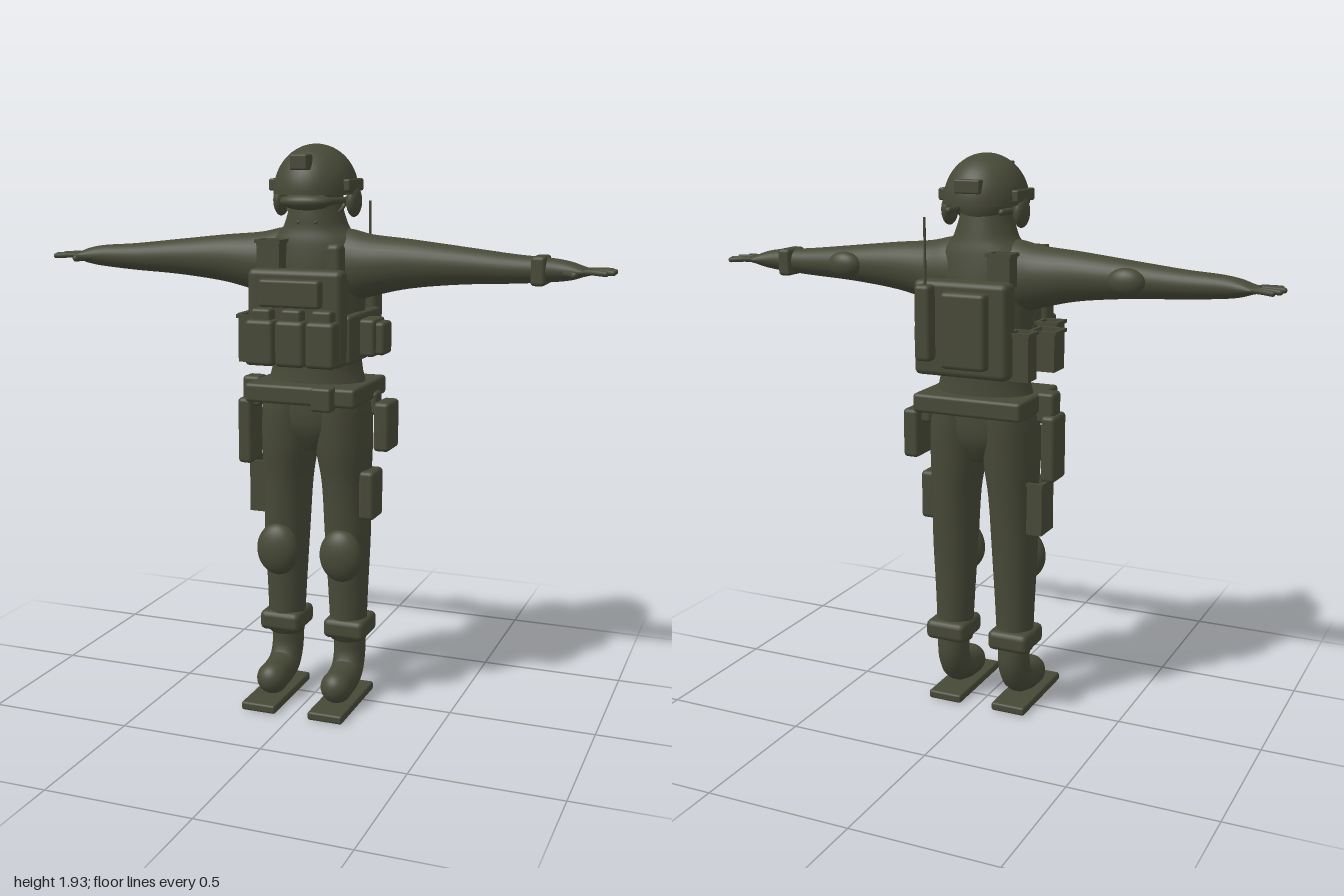
import * as THREE from 'three';
import { RoundedBoxGeometry } from 'three/addons/geometries/RoundedBoxGeometry.js';

const olive = new THREE.MeshStandardMaterial({ color: 0x474937 });
olive.name = 'olive drab';

// Closed smooth skin through elliptical sections [t, uCentre, vCentre, uRadius, vRadius]
function loft(sections, place, steps = 5, sides = 32) {
  const pick = (i) => sections[Math.min(sections.length - 1, Math.max(0, i))];
  const rings = [];
  for (let i = 0; i < sections.length - 1; i++) {
    for (let k = 0; k < steps; k++) {
      const f = k / steps;
      rings.push(pick(i).map((b, j) => {
        const a = pick(i - 1)[j], c = pick(i + 1)[j], d = pick(i + 2)[j];
        const m = (c - a) / 2, n = (d - b) / 2;
        return b + m * f + (3 * (c - b) - 2 * m - n) * f * f + (2 * (b - c) + m + n) * f ** 3;
      }));
    }
  }
  rings.push(pick(sections.length));
  const pos = [], index = [];
  for (const [t, cu, cv, ru, rv] of rings) {
    for (let s = 0; s < sides; s++) {
      const a = (s / sides) * Math.PI * 2;
      pos.push(...place(t, cu + ru * Math.cos(a), cv + rv * Math.sin(a)));
    }
  }
  const last = rings.length - 1;
  for (let i = 0; i < last; i++) {
    for (let s = 0; s < sides; s++) {
      const a = i * sides + s, b = i * sides + (s + 1) % sides;
      index.push(a, a + sides, b, b, a + sides, b + sides);
    }
  }
  const centre = pos.length / 3;
  for (const i of [0, last]) pos.push(...place(rings[i][0], rings[i][1], rings[i][2]));
  for (let s = 0; s < sides; s++) {
    const n = (s + 1) % sides;
    index.push(centre, s, n, centre + 1, last * sides + n, last * sides + s);
  }
  const g = new THREE.BufferGeometry();
  g.setAttribute('position', new THREE.Float32BufferAttribute(pos, 3));
  g.setIndex(index);
  g.computeVertexNormals();
  return g;
}
const alongY = (t, u, v) => [u, t, v];
const alongX = (t, u, v) => [t, v, u];

function add(parent, name, geometry, x = 0, y = 0, z = 0) {
  const m = new THREE.Mesh(geometry, olive);
  m.name = name;
  m.position.set(x, y, z);
  parent.add(m);
  return m;
}
// Rounded box from its limits
function box(parent, name, x0, x1, y0, y1, z0, z1, r = 0.012) {
  const w = x1 - x0, h = y1 - y0, d = z1 - z0;
  const g = new RoundedBoxGeometry(w, h, d, 2, Math.min(r, w / 2.1, h / 2.1, d / 2.1));
  return add(parent, name, g, (x0 + x1) / 2, (y0 + y1) / 2, (z0 + z1) / 2);
}
function ball(parent, name, x, y, z, rx, ry, rz) {
  const m = add(parent, name, new THREE.SphereGeometry(1, 32, 20), x, y, z);
  m.scale.set(rx, ry, rz);
  return m;
}
function rod(parent, name, points, r) {
  const pts = points.map((p) => new THREE.Vector3(...p));
  add(parent, name, new THREE.TubeGeometry(new THREE.CatmullRomCurve3(pts), 16, r, 14), 0, 0, 0);
  const end = pts[pts.length - 1];
  ball(parent, name + 'Tip', end.x, end.y, end.z, r, r, r);
}
// Open-topped holder with a flared lip
function holder(parent, name, x0, x1, y0, y1, z0, z1) {
  const g = new THREE.Group();
  g.name = name;
  const ring = (grow, h, y) => {
    const w = (x1 - x0) / 2 + grow, d = (z1 - z0) / 2 + grow, t = 0.007 + grow;
    const rect = (C, a, b) => new C([[-a, -b], [a, -b], [a, b], [-a, b]].map((p) => new THREE.Vector2(...p)));
    const s = rect(THREE.Shape, w, d);
    s.holes.push(rect(THREE.Path, w - t, d - t));
    const e = new THREE.ExtrudeGeometry(s, { depth: h, bevelEnabled: false }).rotateX(-Math.PI / 2);
    add(g, name + 'Wall', e, (x0 + x1) / 2, y, (z0 + z1) / 2);
  };
  ring(0, y1 - y0, y0);
  ring(0.006, 0.012, y1 - 0.012);
  box(g, name + 'Insert', x0 + 0.006, x1 - 0.006, y0, y1 - 0.03, z0 + 0.006, z1 - 0.006, 0.004);
  parent.add(g);
}

// Arm, leg and ear parts of one side (+x)
function createSide() {
  const s = new THREE.Group();
  add(s, 'sleeve', loft([
    [0.04, -0.015, 1.535, 0.09, 0.12], [0.12, -0.015, 1.53, 0.09, 0.122], [0.2, -0.012, 1.533, 0.085, 0.102],
    [0.33, -0.012, 1.542, 0.072, 0.081], [0.5, -0.012, 1.542, 0.06, 0.062], [0.68, -0.01, 1.537, 0.048, 0.047],
    [0.8, -0.01, 1.537, 0.041, 0.038], [0.86, -0.01, 1.536, 0.042, 0.029],
    [0.9, -0.012, 1.535, 0.045, 0.016], [0.925, -0.014, 1.535, 0.036, 0.01]], alongX));
  ball(s, 'elbowPad', 0.51, 1.542, -0.072, 0.062, 0.045, 0.033);
  [[-0.04, 0.975, -0.078], [-0.022, 0.99, -0.043], [-0.002, 0.992, 0.006], [0.014, 0.975, 0.046]].forEach(([z, x, tip], i) =>
    rod(s, 'finger' + (i + 1), [[0.89, 1.535, z], [0.93, 1.537, (z + tip) / 2], [x, 1.535, tip]], 0.009));
  rod(s, 'thumb', [[0.83, 1.53, 0.01], [0.865, 1.53, 0.04], [0.882, 1.53, 0.068]], 0.011);

  add(s, 'trouserLeg', loft([
    [0.22, 0.117, -0.025, 0.062, 0.064], [0.4, 0.115, -0.024, 0.07, 0.07], [0.6, 0.113, -0.023, 0.08, 0.083],
    [0.78, 0.107, -0.024, 0.084, 0.097], [0.9, 0.1, -0.02, 0.096, 0.11],
    [1.02, 0.094, -0.02, 0.1, 0.118], [1.1, 0.088, -0.02, 0.095, 0.118]], alongY));
  ball(s, 'kneePad', 0.117, 0.54, 0.058, 0.077, 0.092, 0.045);
  box(s, 'ankleCuff', 0.045, 0.195, 0.23, 0.3, -0.11, 0.05, 0.02);
  rod(s, 'boot', [[0.118, 0.25, -0.035], [0.118, 0.16, -0.034], [0.119, 0.105, -0.005],
    [0.12, 0.085, 0.05], [0.12, 0.08, 0.105]], 0.056);
  box(s, 'sole', 0.06, 0.185, 0, 0.03, -0.105, 0.235, 0.008);

  // Helmet rail and ear protection
  box(s, 'helmetRail', 0.118, 0.143, 1.775, 1.815, -0.08, 0.06, 0.006);
  ball(s, 'earCup', 0.13, 1.742, -0.02, 0.024, 0.052, 0.043);
  box(s, 'earCupArm', 0.118, 0.136, 1.74, 1.8, -0.03, -0.01, 0.005);
  rod(s, 'gogglesStrap', [[0.07, 1.745, 0.1], [0.1, 1.745, 0.03], [0.095, 1.745, -0.1]], 0.011);
  rod(s, 'chinStrap', [[0.115, 1.77, -0.04], [0.09, 1.71, 0.01], [0.03, 1.675, 0.075]], 0.006);
  return s;
}

export function createModel() {
  const model = new THREE.Group();
  model.name = 'equippedSoldier';
  const left = createSide(), right = createSide();
  left.name = 'leftSide';
  right.name = 'rightSide';
  right.scale.x = -1;
  model.add(left, right);

  // Torso and neck
  add(model, 'torso', loft([
    [0.9, 0, -0.02, 0.05, 0.07], [0.98, 0, -0.02, 0.165, 0.11], [1.08, 0, -0.02, 0.185, 0.118],
    [1.2, 0, -0.022, 0.157, 0.115], [1.35, 0, -0.02, 0.165, 0.118], [1.5, 0, -0.015, 0.172, 0.115],
    [1.6, 0, -0.012, 0.165, 0.105], [1.65, 0, -0.012, 0.118, 0.095], [1.69, 0, -0.01, 0.1, 0.09],
    [1.74, 0, -0.008, 0.085, 0.083]], alongY));
  ball(model, 'head', 0, 1.77, -0.005, 0.092, 0.1, 0.098);

  // Helmet and goggles
  const dome = new THREE.SphereGeometry(1, 40, 16, 0, Math.PI * 2, 0, Math.PI / 2);
  add(model, 'helmet', dome, 0, 1.775, -0.01).scale.set(0.14, 0.153, 0.15);
  add(model, 'helmetRim', new THREE.CylinderGeometry(1, 1, 0.014, 40), 0, 1.772, -0.01).scale.set(0.141, 1, 0.151);
  box(model, 'helmetMount', -0.03, 0.03, 1.845, 1.895, 0.1, 0.155, 0.006);
  box(model, 'helmetCounterweight', -0.045, 0.045, 1.805, 1.85, -0.165, -0.12, 0.006);
  ball(model, 'goggles', 0, 1.742, 0.085, 0.09, 0.028, 0.045);

  // Plate carrier
  box(model, 'frontPlate', -0.16, 0.17, 1.215, 1.53, 0.14, 0.21, 0.02);
  box(model, 'backPlate', -0.165, 0.17, 1.215, 1.53, -0.22, -0.14, 0.02);
  box(model, 'frontPlateBacking', -0.14, 0.15, 1.23, 1.5, 0.07, 0.145);
  box(model, 'sideBand', 0.145, 0.18, 1.22, 1.38, -0.16, 0.15);
  box(model, 'adminPouch', -0.105, 0.105, 1.41, 1.5, 0.2, 0.245, 0.01);
  for (let i = 0; i < 3; i++) {
    const x = -0.145 + i * 0.105;
    box(model, 'magazinePouch', x, x + 0.1, 1.22, 1.37, 0.2, 0.268, 0.014);
    box(model, 'magazineFlap', x + 0.015, x + 0.085, 1.35, 1.405, 0.2, 0.25, 0.01);
  }
  box(model, 'waterCarrier', -0.105, 0.052, 1.25, 1.5, -0.26, -0.21, 0.014);
  box(model, 'radio', 0.085, 0.142, 1.27, 1.52, -0.268, -0.215, 0.014);
  add(model, 'antenna', new THREE.CylinderGeometry(0.004, 0.005, 0.24, 10), 0.112, 1.615, -0.24);

  // Shoulder holders
  holder(model, 'frontShoulderHolder', -0.15, -0.07, 1.51, 1.62, 0.08, 0.15);
  holder(model, 'backShoulderHolder', -0.15, -0.07, 1.51, 1.62, -0.16, -0.1);
  box(model, 'shoulderPouch', 0.085, 0.14, 1.5, 1.61, 0.08, 0.14, 0.018);

  // Pouches on the right flank
  holder(model, 'frontFlankHolder', -0.22, -0.15, 1.21, 1.37, 0.07, 0.145);
  holder(model, 'sideFlankHolder', -0.262, -0.175, 1.225, 1.36, -0.05, 0.04);
  holder(model, 'backFlankHolder', -0.22, -0.15, 1.21, 1.37, -0.17, -0.1);
  // Pouches on the left flank
  box(model, 'flankPouch', 0.17, 0.23, 1.235, 1.36, -0.06, 0.055, 0.012);
  box(model, 'flankPouchFront', 0.22, 0.26, 1.24, 1.35, -0.045, 0.04, 0.012);

  // Belt and hip gear
  box(model, 'belt', -0.197, 0.197, 1.075, 1.14, -0.18, 0.155, 0.012);
  box(model, 'beltBuckle', 0.055, 0.128, 1.065, 1.145, 0.14, 0.195, 0.01);
  box(model, 'hipPouch', 0.205, 0.262, 0.9, 1.07, -0.13, -0.01, 0.014);
  box(model, 'hipPouchHanger', 0.17, 0.21, 1.02, 1.1, -0.1, -0.04);
  box(model, 'thighPouch', 0.17, 0.226, 0.668, 0.838, -0.07, 0.04, 0.014);
  box(model, 'hipHolster', -0.262, -0.21, 0.84, 1.07, -0.04, 0.07, 0.014);
  box(model, 'holsterHanger', -0.25, -0.185, 1.04, 1.145, -0.02, 0.05);
  holder(model, 'thighHolder', -0.233, -0.17, 0.662, 0.845, -0.075, 0.03);

  // Wrist band on the left arm
  box(model, 'wristBand', 0.738, 0.785, 1.488, 1.582, -0.068, 0.04, 0.012);
  return model;
}
